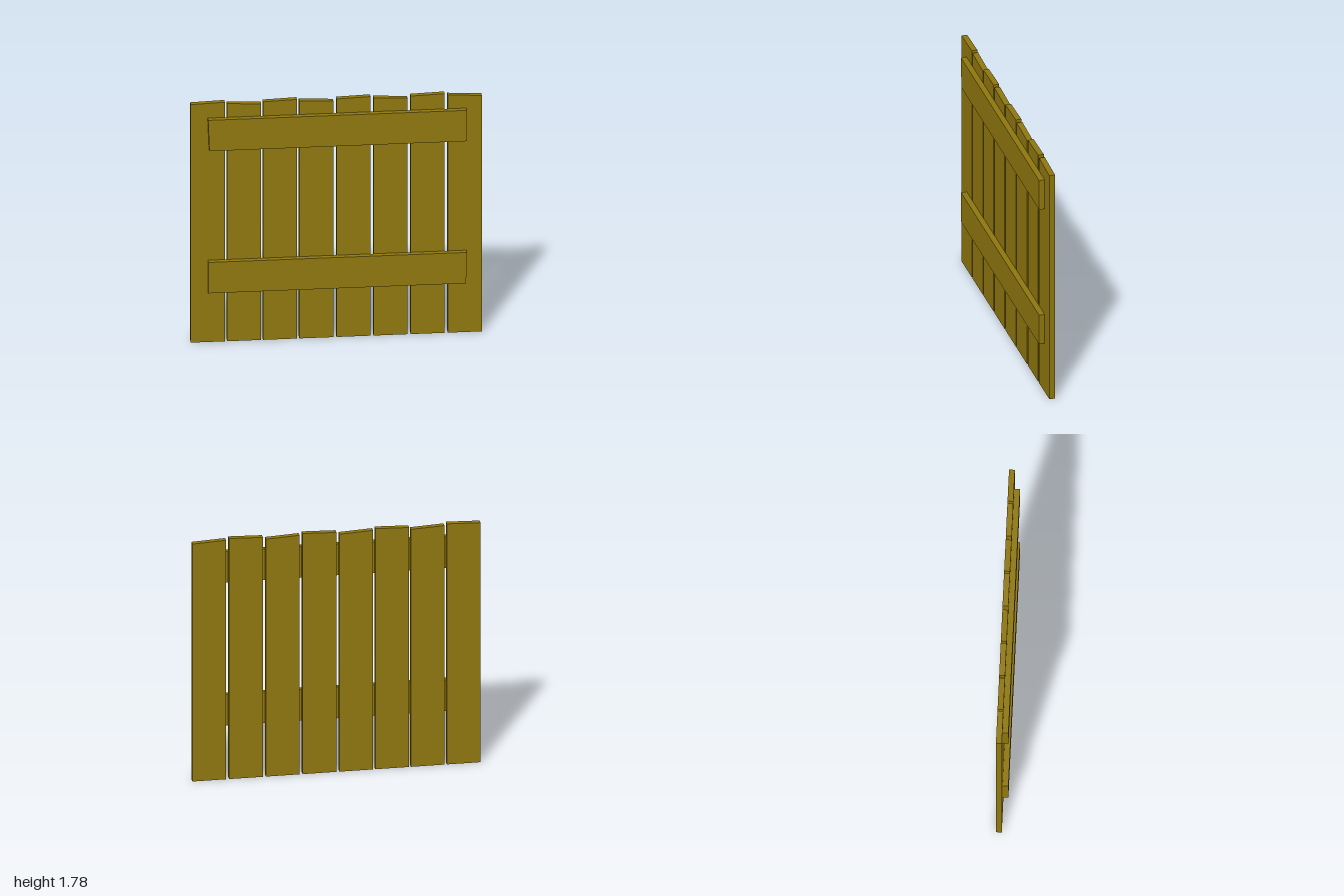
import * as THREE from 'three';

const DEPTH = 0.04;
const wood = new THREE.MeshStandardMaterial({ color: 0x8f770f, flatShading: true });

// A flat board cut from an outline, extruded towards +z from z
function board(name, corners, z) {
  const shape = new THREE.Shape(corners.map(([x, y]) => new THREE.Vector2(x, y)));
  const geometry = new THREE.ExtrudeGeometry(shape, { depth: DEPTH, bevelEnabled: false });
  const mesh = new THREE.Mesh(geometry, wood);
  mesh.name = name;
  mesh.position.z = z;
  return mesh;
}

export function createModel() {
  const group = new THREE.Group();
  group.name = 'plankFence';

  // Upright planks, with tops sawn at alternating slants
  const width = 0.234;
  const lefts = [-1, -0.75, -0.504, -0.254, 0.001, 0.256, 0.511, 0.766];
  lefts.forEach((x, i) => {
    const [topLeft, topRight] = i % 2 ? [1.772, 1.76] : [1.775, 1.783];
    group.add(board(`plank${i + 1}`,
      [[x, 0], [x + width, 0], [x + width, topRight], [x, topLeft]], -DEPTH));
  });

  // Cross rails on the front, with slightly uneven ends
  group.add(board('upperRail', [[-0.875, 1.44], [0.893, 1.44], [0.893, 1.67], [-0.884, 1.67]], 0));
  group.add(board('lowerRail', [[-0.883, 0.38], [0.888, 0.38], [0.893, 0.61], [-0.883, 0.61]], 0));

  return group;
}
